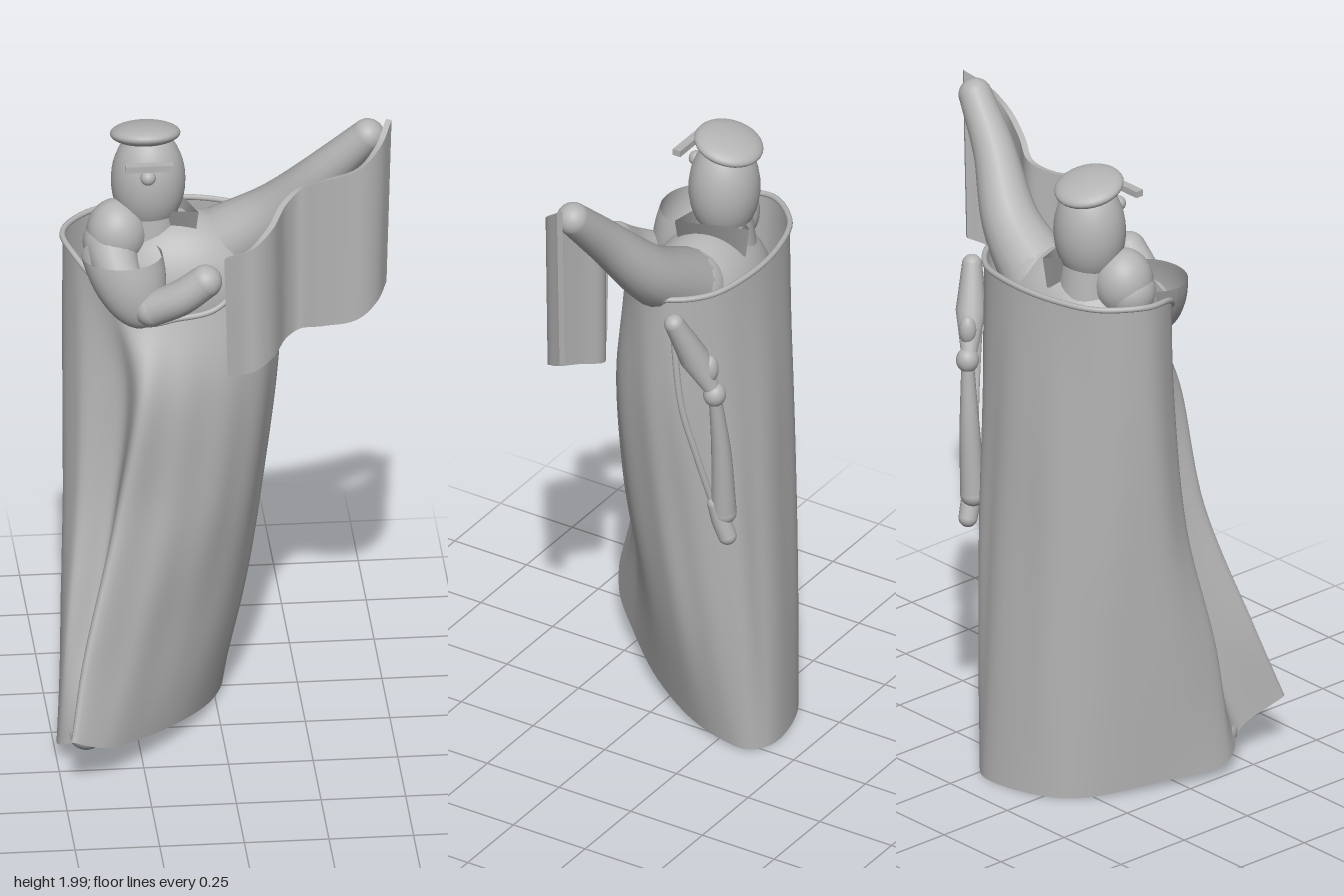
import * as THREE from 'three';

const V = (p) => new THREE.Vector3(...p);
const stone = new THREE.MeshStandardMaterial({ color: 0xb4b4b4, side: THREE.DoubleSide });
stone.name = 'grey stone';

function mesh(name, geometry, parent) {
  const m = new THREE.Mesh(geometry, stone);
  m.name = name;
  parent.add(m);
  return m;
}

function ellipsoid(name, center, radii, parent) {
  const m = mesh(name, new THREE.SphereGeometry(1, 32, 20), parent);
  m.position.set(...center);
  m.scale.set(...radii);
  return m;
}

// Round limb along a path whose radius follows a list, with domed ends
function limb(name, points, radii, parent) {
  const group = new THREE.Group();
  group.name = name;
  parent.add(group);
  const curve = new THREE.CatmullRomCurve3(points.map(V));
  const seg = 32, sides = 18;
  const geo = new THREE.TubeGeometry(curve, seg, 1, sides);
  const pos = geo.attributes.position, v = new THREE.Vector3();
  for (let i = 0; i <= seg; i++) {
    const c = curve.getPointAt(i / seg);
    const f = (i / seg) * (radii.length - 1), k = Math.min(Math.floor(f), radii.length - 2);
    const r = THREE.MathUtils.lerp(radii[k], radii[k + 1], f - k);
    for (let j = 0; j <= sides; j++) {
      const n = i * (sides + 1) + j;
      v.fromBufferAttribute(pos, n).sub(c).multiplyScalar(r).add(c);
      pos.setXYZ(n, v.x, v.y, v.z);
    }
  }
  mesh(name + 'Length', geo, group);
  [0, radii.length - 1].forEach((k) => {
    const r = radii[k];
    ellipsoid(name + 'End', points[k === 0 ? 0 : points.length - 1], [r, r, r], group);
  });
  return group;
}

// Robe cross-sections [x, z], from the front fold round the left side and back
const sections = [
  [[-.24, .09], [-.14, .09], [-.02, .075], [.10, .025], [.185, -.08], [.19, -.17], [.10, -.27],
    [-.05, -.315], [-.22, -.305], [-.37, -.25], [-.455, -.13], [-.43, -.02], [-.34, .06]],
  [[-.255, .175], [-.15, .16], [-.02, .12], [.10, .05], [.175, -.08], [.175, -.19], [.09, -.29],
    [-.05, -.345], [-.225, -.335], [-.37, -.255], [-.455, -.12], [-.42, .01], [-.29, .07]],
  [[-.33, .21], [-.20, .18], [-.06, .13], [.06, .04], [.135, -.1], [.13, -.21], [.07, -.32],
    [-.04, -.365], [-.225, -.35], [-.365, -.265], [-.455, -.09], [-.43, .05], [-.32, .08]],
  [[-.435, .32], [-.29, .25], [-.15, .14], [-.01, .02], [.08, -.13], [.085, -.24], [.05, -.34],
    [-.04, -.385], [-.22, -.365], [-.345, -.28], [-.455, -.06], [-.47, .13], [-.385, .15]],
  [[-.475, .395], [-.37, .345], [-.24, .21], [-.1, .04], [-.01, -.13], [.03, -.26], [.025, -.355],
    [-.04, -.4], [-.22, -.37], [-.33, -.29], [-.44, -.06], [-.497, .15], [-.44, .26]],
];
const rimY = [1.40, 1.41, 1.43, 1.54, 1.59, 1.59, 1.59, 1.6, 1.6, 1.6, 1.6, 1.58, 1.49];
const hemY = [.18, .13, .09, .06, .03, .02, .01, .01, .01, .01, .03, .05, .11];
const heights = [rimY, 1.2, 0.8, 0.4, hemY];

function robe(parent) {
  const around = 104, down = 40;
  const rings = sections.map((s, k) => new THREE.CatmullRomCurve3(
    s.map(([x, z], i) => new THREE.Vector3(x, heights[k][i] ?? heights[k], z)), true));
  const columns = Array.from({ length: around }, (_, j) =>
    new THREE.CatmullRomCurve3(rings.map((r) => r.getPoint(j / around))));
  const pos = [], index = [];
  for (let i = 0; i <= down; i++) {
    for (let j = 0; j < around; j++) {
      const p = columns[j].getPoint(i / down);
      // soft hanging pleats
      const pleat = 1 + 0.012 * Math.sin(i / down * Math.PI) * Math.sin(j / around * Math.PI * 26);
      pos.push(-0.16 + (p.x + 0.16) * pleat, p.y, -0.1 + (p.z + 0.1) * pleat);
      if (i < down) {
        const n = (j + 1) % around, a = i * around + j, b = i * around + n;
        const c = a + around, d = b + around;
        index.push(a, c, b, b, c, d);
      }
    }
  }
  const geo = new THREE.BufferGeometry();
  geo.setAttribute('position', new THREE.Float32BufferAttribute(pos, 3));
  geo.setIndex(index);
  geo.computeVertexNormals();
  mesh('robe', geo, parent);
  mesh('robeRim', new THREE.TubeGeometry(rings[0], 104, 0.009, 8, true), parent);
}

// Cloth slung under the right elbow: an open bowl leaning forward as it deepens
function sleeveDrape(parent) {
  const geo = new THREE.SphereGeometry(1, 36, 14, 0, Math.PI * 2, Math.PI / 2, Math.PI / 2);
  const pos = geo.attributes.position;
  for (let n = 0; n < pos.count; n++) {
    const depth = -pos.getY(n);
    pos.setXYZ(n,
      -0.295 + pos.getX(n) * 0.12 + depth * 0.05,
      1.6 - depth * 0.215,
      0.025 + pos.getZ(n) * 0.105 + depth * 0.055);
  }
  geo.computeVertexNormals();
  mesh('sleeveDrape', geo, parent);
}

// Wavy cloth sheet held between the hands
function banner(parent) {
  const top = new THREE.CatmullRomCurve3([
    [0, 1.635, .15], [.07, 1.68, .185], [.13, 1.725, .15], [.18, 1.76, .06], [.23, 1.79, .025],
    [.30, 1.83, .055], [.40, 1.88, .085], [.46, 1.94, .06], [.497, 1.995, 0]].map(V));
  const geo = new THREE.BoxGeometry(1, 1, 1, 48, 8, 1);
  const pos = geo.attributes.position;
  for (let n = 0; n < pos.count; n++) {
    const u = pos.getX(n) + 0.5, drop = 0.5 - pos.getY(n), side = pos.getZ(n) * 0.018;
    const p = top.getPoint(u), t = top.getTangent(u);
    const len = Math.hypot(t.x, t.z);
    pos.setXYZ(n,
      p.x - t.z / len * side + drop * (0.01 - 0.025 * u),
      p.y - drop * (0.385 + 0.15 * u),
      p.z + t.x / len * side);
  }
  geo.computeVertexNormals();
  mesh('banner', geo, parent);
}

export function createModel() {
  const model = new THREE.Group();
  model.name = 'robedFigure';

  // Head, face and cap
  ellipsoid('head', [-.202, 1.765, -.13], [.11, .165, .105], model);
  const cap = ellipsoid('cap', [-.21, 1.912, -.14], [.104, .034, .104], model);
  cap.rotation.x = -0.25;
  const brow = mesh('browBar', new THREE.BoxGeometry(.14, .02, .026), model);
  brow.position.set(-.21, 1.868, -.002);
  ellipsoid('nose', [-.212, 1.822, -.026], [.023, .023, .023], model);

  // Neck, pointed collar and torso
  const neck = mesh('neck', new THREE.CylinderGeometry(.08, .1, .16, 28), model);
  neck.position.set(-.2, 1.62, -.13);
  const collar = mesh('collar',
    new THREE.CylinderGeometry(.13, .115, .1, 3, 1, true, THREE.MathUtils.degToRad(50)), model);
  collar.position.set(-.16, 1.64, -.13);
  ellipsoid('torso', [-.11, 1.43, -.12], [.26, .225, .17], model);
  ellipsoid('rightShoulder', [-.3, 1.615, -.085], [.09, .105, .09], model);

  // Raised left arm and folded right arm
  limb('leftArm', [[0, 1.53, -.135], [.17, 1.65, -.105], [.32, 1.82, -.04], [.435, 1.942, -.008]],
    [.115, .088, .066, .05], model);
  limb('rightUpperArm', [[-.32, 1.59, -.08], [-.3, 1.52, 0], [-.25, 1.46, .08]], [.08, .065, .05], model);
  limb('rightForearm', [[-.215, 1.46, .115], [-.13, 1.51, .145], [-.06, 1.565, .155]],
    [.052, .053, .05], model);
  sleeveDrape(model);

  // Leg and foot under the hem
  limb('leg', [[-.32, .8, -.02], [-.37, .45, .05], [-.41, .13, .14]], [.08, .065, .055], model);
  ellipsoid('foot', [-.415, .1, .17], [.055, .05, .08], model);

  robe(model);
  banner(model);

  // Knotted sash hanging from the left rear rim
  limb('sashFlap', [[.215, 1.535, -.22], [.175, 1.42, -.26], [.135, 1.29, -.305]], [.03, .045, .022], model);
  ellipsoid('sashKnot', [.135, 1.28, -.31], [.034, .038, .034], model);
  limb('sashTail', [[.135, 1.28, -.31], [.115, 1.08, -.32], [.1, .86, -.32]], [.018, .03, .038], model);
  limb('sashCord', [[.19, 1.5, -.2], [.185, 1.24, -.225], [.155, 1.06, -.26], [.12, .9, -.29]],
    [.01, .01, .01], model);
  limb('sashTip', [[.115, .89, -.3], [.11, .83, -.32], [.105, .785, -.335]], [.025, .03, .028], model);
  ellipsoid('sashBow', [.145, 1.37, -.3], [.026, .045, .026], model);

  return model;
}
